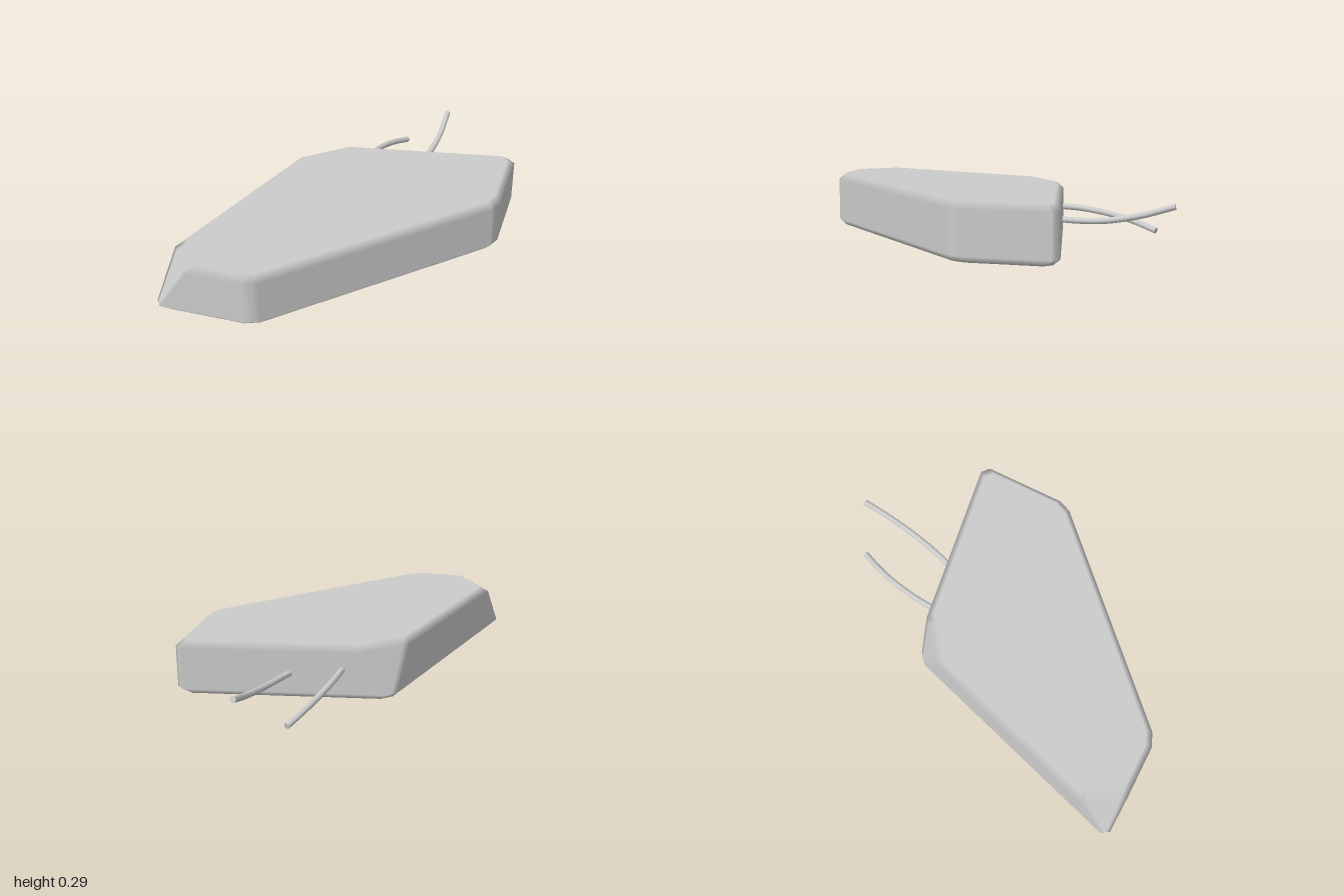
import * as THREE from 'three';

const material = new THREE.MeshStandardMaterial({ color: 0xcccccc, side: THREE.DoubleSide });
const V2 = (x, z) => new THREE.Vector2(x, z);

// Plan of the slab as (x, z); cut is how far the top of that corner is sliced off.
const corners = [
  { p: V2(-0.76, 1), cut: 0.2 },
  { p: V2(-0.235, 1), cut: 0 },
  { p: V2(0.75, 0.01), cut: 0 },
  { p: V2(0.75, -0.512), cut: 0 },
  { p: V2(-0.36, -0.325), cut: 0.17 },
];
const N = corners.length, BEVEL = 0.035, HEIGHT = 0.295;
const edgeDir = (i) => corners[(i + 1) % N].p.clone().sub(corners[(i + N) % N].p).normalize();
const outward = (i) => { const d = edgeDir(i); return V2(-d.y, d.x); };

// Four points per corner: end of one side, two across the corner, start of the next side.
function ring(y, inset, isTop) {
  const pts = [];
  corners.forEach(({ p, cut }, i) => {
    const before = edgeDir((i + N - 1) % N), after = edgeDir(i);
    const n0 = outward((i + N - 1) % N), n1 = outward(i);
    const c = p.clone().addScaledVector(n0.clone().add(n1), -inset / (1 + n0.dot(n1)));
    const d = isTop && cut ? cut : 0.042;
    const a = c.clone().addScaledVector(before, -d), b = c.clone().addScaledVector(after, d);
    const t = isTop && cut ? 0.14 : 0.45;
    for (const k of [0, t, 1 - t, 1]) {
      const q = a.clone().lerp(b, k);
      pts.push(new THREE.Vector3(q.x, y, q.y));
    }
  });
  return pts;
}

function slabGeometry() {
  const rings = [
    ring(0, BEVEL, false), ring(BEVEL, 0, false),
    ring(HEIGHT - BEVEL, 0, true), ring(HEIGHT, BEVEL, true),
  ];
  const M = rings[0].length;
  // Flat faces keep one normal, so shading only blends across the narrow bevels.
  const sideNormals = [];
  for (let i = 0; i < N; i++) {
    const n0 = outward((i + N - 1) % N), n1 = outward(i);
    const s0 = new THREE.Vector3(n0.x, 0, n0.y), s1 = new THREE.Vector3(n1.x, 0, n1.y);
    let mid = s0.clone().add(s1).normalize();
    if (corners[i].cut) {
      const low = rings[1][i * 4 + 1], a = rings[2][i * 4 + 1], b = rings[2][i * 4 + 2];
      mid = b.clone().sub(low).cross(a.clone().sub(low)).normalize();
    }
    sideNormals.push(s0, mid, mid, s1);
  }
  const pos = [], nor = [], index = [];
  rings.forEach((r, k) => r.forEach((p, j) => {
    const n = k === 0 ? new THREE.Vector3(0, -1, 0) : k === 3 ? new THREE.Vector3(0, 1, 0) : sideNormals[j];
    pos.push(p.x, p.y, p.z);
    nor.push(n.x, n.y, n.z);
  }));
  for (let k = 0; k < 3; k++) for (let j = 0; j < M; j++) {
    const a = k * M + j, b = k * M + (j + 1) % M;
    index.push(a, b, b + M, a, b + M, a + M);
  }
  // Flat bottom and top
  for (let j = 1; j < M - 1; j++) {
    index.push(0, j + 1, j, 3 * M, 3 * M + j, 3 * M + j + 1);
  }
  const g = new THREE.BufferGeometry();
  g.setAttribute('position', new THREE.Float32BufferAttribute(pos, 3));
  g.setAttribute('normal', new THREE.Float32BufferAttribute(nor, 3));
  g.setIndex(index);
  return g;
}

// Thin bent wire with closed ends
function wire(name, points) {
  const group = new THREE.Group();
  group.name = name;
  const curve = new THREE.CatmullRomCurve3(points.map((p) => new THREE.Vector3(...p)));
  const radius = 0.016;
  group.add(new THREE.Mesh(new THREE.TubeGeometry(curve, 20, radius, 12), material));
  for (const t of [0, 1]) {
    const cap = new THREE.Mesh(new THREE.CircleGeometry(radius, 12), material);
    const dir = curve.getTangent(t).multiplyScalar(t ? 1 : -1);
    cap.position.copy(curve.getPoint(t));
    cap.quaternion.setFromUnitVectors(new THREE.Vector3(0, 0, 1), dir);
    group.add(cap);
  }
  group.children.forEach((m, i) => { m.name = i ? 'wireEnd' : 'wireStrand'; });
  return group;
}

export function createModel() {
  const model = new THREE.Group();
  model.name = 'wiredSlab';
  const slab = new THREE.Mesh(slabGeometry(), material);
  slab.name = 'slab';
  model.add(slab);
  model.add(wire('rightWire', [
    [-0.103, 0.17, -0.34], [-0.095, 0.165, -0.46], [-0.065, 0.145, -0.62], [-0.02, 0.115, -0.76], [0.035, 0.078, -0.882],
  ]));
  model.add(wire('leftWire', [
    [0.15, 0.14, -0.37], [0.19, 0.14, -0.48], [0.23, 0.15, -0.64], [0.252, 0.185, -0.82], [0.255, 0.238, -0.995],
  ]));
  return model;
}
